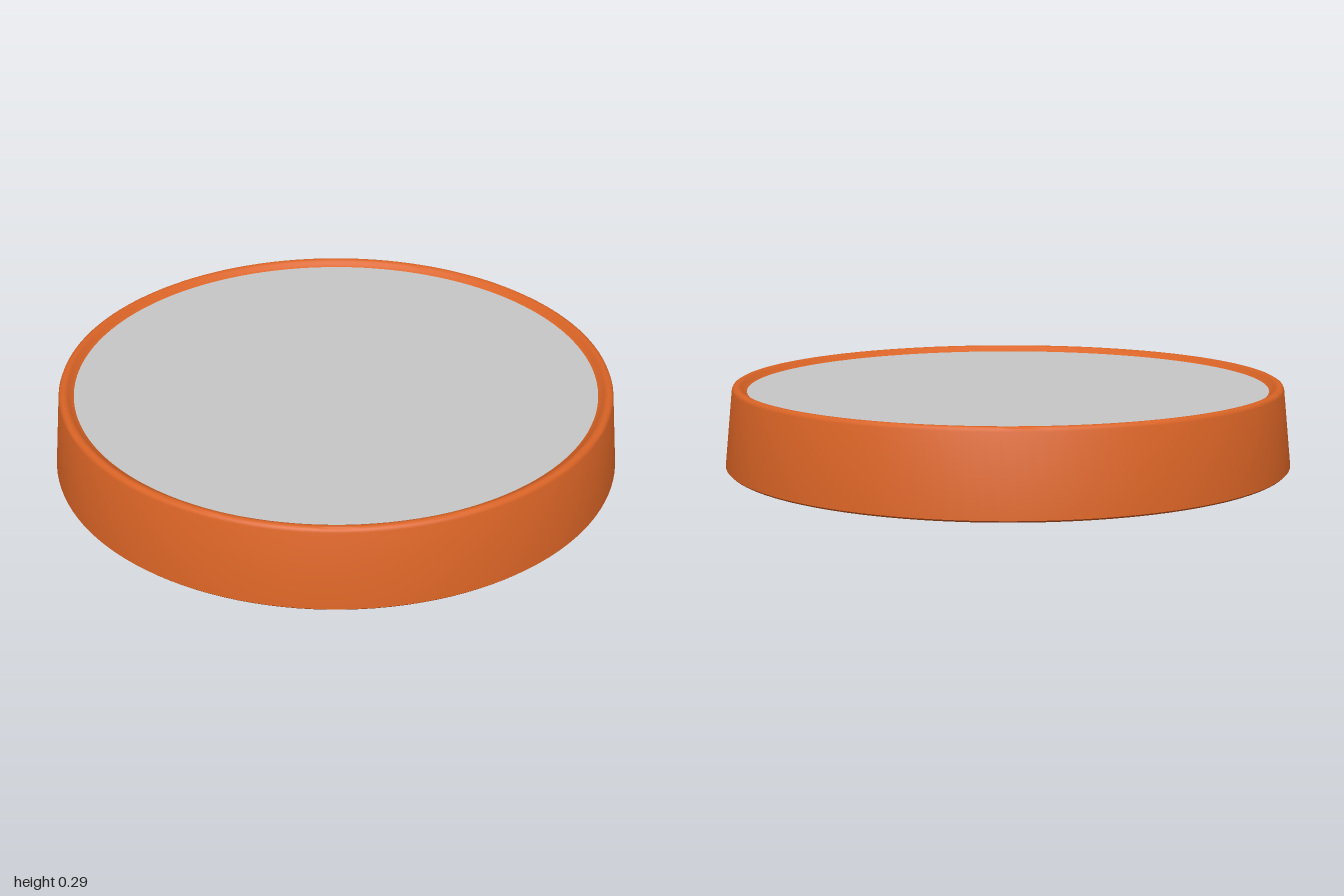
import * as THREE from 'three';
import { toCreasedNormals } from 'three/addons/utils/BufferGeometryUtils.js';

const orange = new THREE.MeshStandardMaterial({ name: 'orange', color: 0xda6426 });
const grey = new THREE.MeshStandardMaterial({ name: 'light grey', color: 0xc8c8c8 });

const CEILING = 0.13; // height of the hollow underside
const RIB = 0.025;    // how far the ribs hang below it

export function createModel() {
  const model = new THREE.Group();
  model.name = 'roundBase';

  const add = (name, geometry, material = orange) => {
    const mesh = new THREE.Mesh(geometry, material);
    mesh.name = name;
    model.add(mesh);
    return mesh;
  };
  // Turned part; the profile runs counter-clockwise, so faces point outward
  const turn = (points, segments) => toCreasedNormals(
    new THREE.LatheGeometry(points.map(([x, y]) => new THREE.Vector2(x, y)), segments), 0.6);

  // Tapered shell: ceiling, inner wall, foot, outer wall, rounded rim and recess wall
  add('shell', turn([
    [0, CEILING], [0.92, CEILING], [0.983, 0.004], [0.987, 0], [0.994, 0], [1, 0.006],
    [0.999, 0.015], [0.972, 0.272], [0.968, 0.281], [0.96, 0.286], [0.95, 0.286],
    [0.94, 0.281], [0.932, 0.272], [0.92, 0.266],
  ], 128));

  // Recessed top surface
  const top = add('topSurface', new THREE.CircleGeometry(0.921, 128).rotateX(-Math.PI / 2), grey);
  top.position.y = 0.266;

  // Circular rib under the ceiling
  const low = CEILING - RIB;
  add('ringRib', turn([
    [0.38, CEILING], [0.38, low], [0.4, low], [0.4, CEILING],
  ], 64));

  // Straight rib along a direction, from radius a to radius b
  const rib = (name, angle, a, b, width = 0.018) => {
    const geometry = new THREE.BoxGeometry(b - a, RIB, width);
    geometry.translate((a + b) / 2, CEILING - RIB / 2, 0).rotateY(angle);
    add(name, geometry);
  };

  // Eight spokes and the square they start from
  const half = 0.15;
  for (let i = 0; i < 8; i++) {
    rib('spoke', i * Math.PI / 4, i % 2 ? half * Math.SQRT2 : half, 0.385);
  }
  for (let i = 0; i < 4; i++) {
    rib('squareRib', i * Math.PI / 2, half - 0.009, half + 0.009, 2 * half + 0.018);
  }
  // Small blocks at the front and back of the square
  for (const side of [1, -1]) {
    rib('squareBlock', side * Math.PI / 2, half - 0.035, half + 0.02, 0.05);
  }

  // Flat centre boss with a small dimple
  add('centreBoss', turn([
    [0, CEILING - 0.001], [0.016, CEILING - 0.001], [0.016, CEILING - 0.006],
    [0.065, CEILING - 0.006], [0.065, CEILING],
  ], 32));

  // Hollow peg near the back edge
  const peg = add('peg', turn([
    [0, 0.09], [0.03, 0.09], [0.03, 0.055], [0.068, 0.055], [0.075, 0.062], [0.082, CEILING],
  ], 32));
  peg.position.z = -0.725;

  return model;
}
